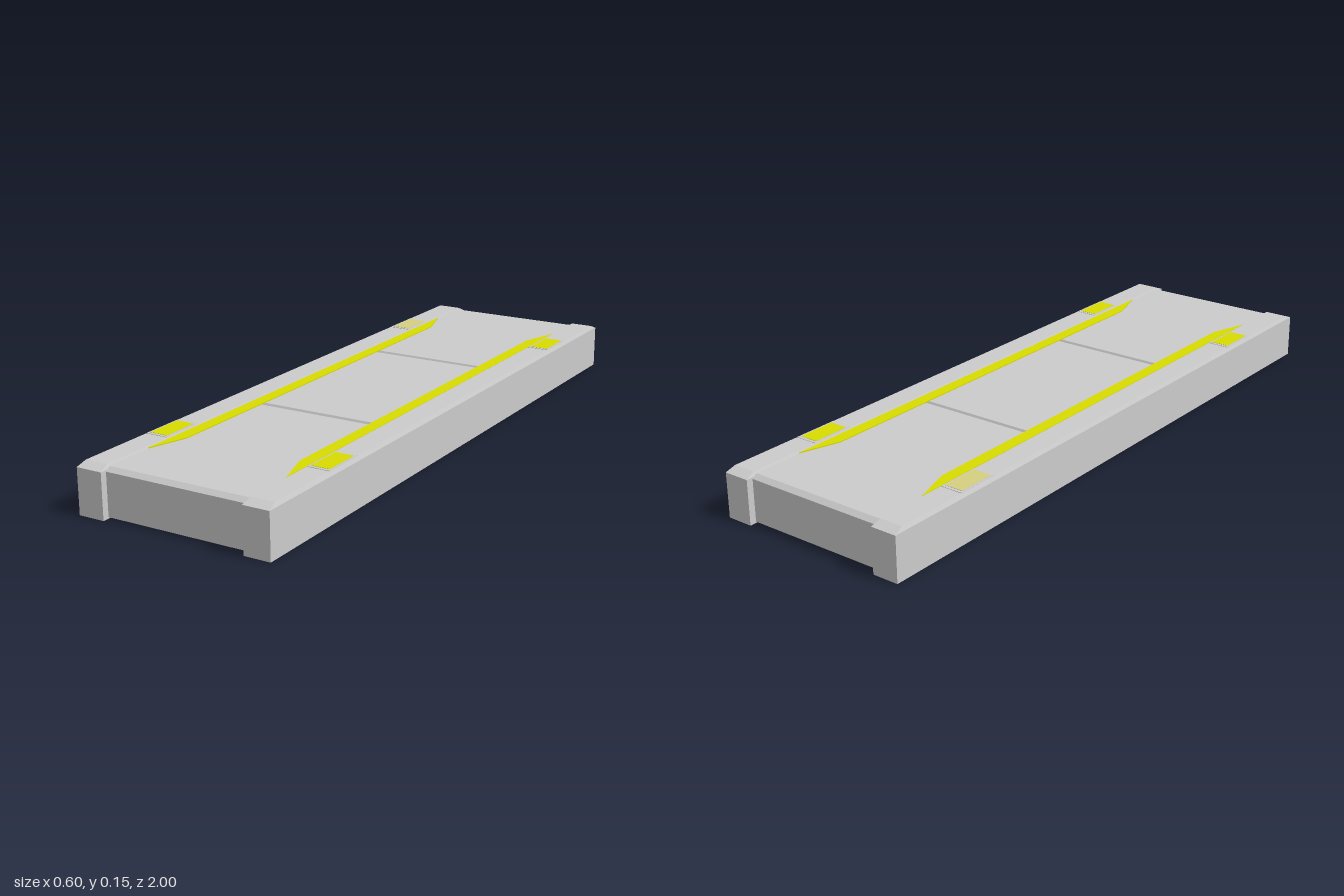
import * as THREE from 'three';

const grey = new THREE.MeshStandardMaterial({ color: 0xcccccc, flatShading: true });
const yellow = new THREE.MeshStandardMaterial({ color: 0xd8dc00, flatShading: true });
const paleYellow = new THREE.MeshStandardMaterial({ color: 0xd6cf80, flatShading: true });

function part(name, geometry, material, parent) {
  const mesh = new THREE.Mesh(geometry, material);
  mesh.name = name;
  parent.add(mesh);
  return mesh;
}

function shapeOf(points) {
  return new THREE.Shape(points.map(([a, b]) => new THREE.Vector2(a, b)));
}

// Box standing on y = 0 whose top edges are bevelled
function bevelledRail(width, height, length, bevelY, bevelX, bevelZ) {
  const g = new THREE.BoxGeometry(width, height, length, 1, 2, 1).toNonIndexed();
  const p = g.attributes.position;
  for (let i = 0; i < p.count; i++) {
    const y = p.getY(i);
    if (y > 0.001) {
      p.setX(i, p.getX(i) - Math.sign(p.getX(i)) * bevelX);
      p.setZ(i, p.getZ(i) - Math.sign(p.getZ(i)) * bevelZ);
    } else if (y > -0.001) {
      p.setY(i, height / 2 - bevelY);
    }
  }
  g.translate(0, height / 2, 0);
  g.computeVertexNormals();
  return g;
}

export function createModel() {
  const model = new THREE.Group();
  model.name = 'rampPlatform';

  // Deck: side profile (z, y) with bevelled ends and two cross grooves
  const top = 0.14, bottom = 0.004, end = 0.98;
  const profile = [[-end, bottom], [end, bottom], [end, 0.129], [end - 0.015, top]];
  for (const z of [0.329, -0.329]) {
    profile.push([z + 0.01, top], [z + 0.006, top - 0.006], [z - 0.006, top - 0.006], [z - 0.01, top]);
  }
  profile.push([-end + 0.015, top], [-end, 0.129]);
  const deck = new THREE.ExtrudeGeometry(shapeOf(profile), { depth: 0.44, bevelEnabled: false });
  deck.translate(0, 0, -0.22).rotateY(-Math.PI / 2);
  part('deck', deck, grey, model);

  for (const side of [1, -1]) {
    const label = side > 0 ? 'left' : 'right';

    // Side rails
    part(label + 'Rail', bevelledRail(0.08, 0.145, 2, 0.012, 0.005, 0.03), grey, model)
      .position.x = side * 0.26;

    // Tapered marking strips beside the rails
    const strip = new THREE.ExtrudeGeometry(
      shapeOf([[side * 0.22, -0.81], [side * 0.22, 0.81], [side * 0.182, 0.69], [side * 0.182, -0.69]]),
      { depth: 0.004, bevelEnabled: false });
    strip.rotateX(-Math.PI / 2).translate(0, 0.139, 0);
    part(label + 'MarkingStrip', strip, yellow, model);

    // Framed marker pads on the rails
    for (const z of [0.655, -0.675]) {
      const pad = new THREE.Group();
      pad.name = label + (z > 0 ? 'Front' : 'Back') + 'Marker';
      pad.position.set(side * 0.26, 0, z);
      model.add(pad);
      part('markerFrame', new THREE.BoxGeometry(0.068, 0.006, 0.138), grey, pad).position.y = 0.1432;
      const material = side < 0 && z < 0 ? paleYellow : yellow;
      part('markerPanel', new THREE.BoxGeometry(0.056, 0.006, 0.118), material, pad).position.y = 0.144;
    }
  }
  return model;
}
